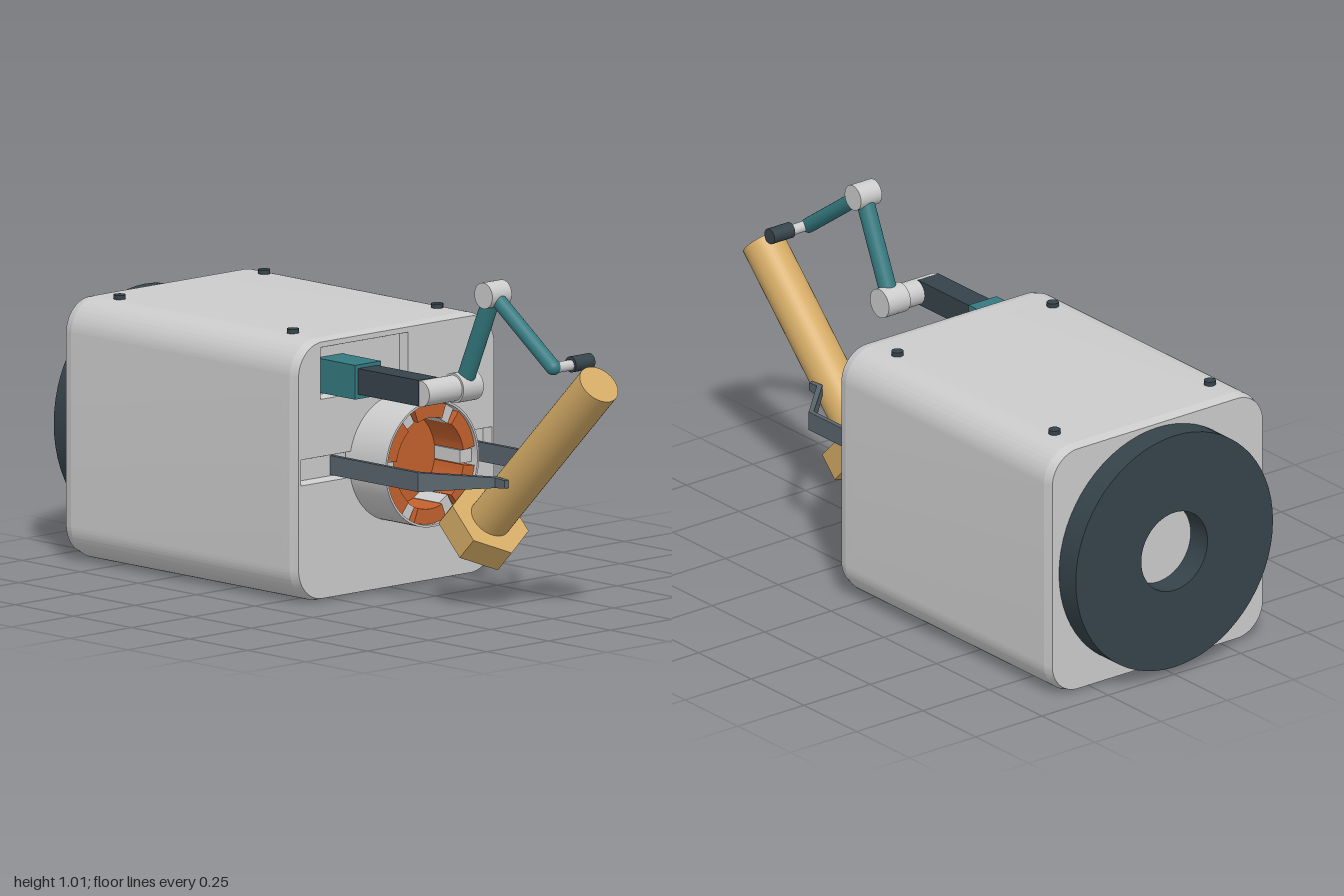
import * as THREE from 'three';
import { toCreasedNormals } from 'three/addons/utils/BufferGeometryUtils.js';

const mat = (color) => new THREE.MeshStandardMaterial({ color });
const GREY = mat(0xcccccc), DARK = mat(0x35434a), TEAL = mat(0x347a80);
const GOLD = mat(0xd4ab66), ORANGE = mat(0xc4602c), STEEL = mat(0x59656d);
const CY = 0.395; // height of the main axis

export function createModel() {
  const model = new THREE.Group();

  const add = (name, geometry, material, x = 0, y = 0, z = 0, parent = model) => {
    const mesh = new THREE.Mesh(geometry, material);
    mesh.name = name;
    mesh.position.set(x, y, z);
    parent.add(mesh);
    return mesh;
  };
  // Box given by its limits on each axis
  const box = (name, material, x0, x1, y0, y1, z0, z1) =>
    add(name, new THREE.BoxGeometry(x1 - x0, y1 - y0, z1 - z0), material,
      (x0 + x1) / 2, (y0 + y1) / 2, (z0 + z1) / 2);
  // Cylinder lying along x
  const barX = (name, material, r, x0, x1, y, z) =>
    add(name, new THREE.CylinderGeometry(r, r, x1 - x0, 32).rotateZ(Math.PI / 2), material, (x0 + x1) / 2, y, z);
  // Round-ended rod between two points
  const link = (name, material, r, a, b) => {
    const p = new THREE.Vector3(...a), q = new THREE.Vector3(...b);
    const d = q.clone().sub(p);
    const mid = p.clone().add(q).multiplyScalar(0.5);
    const mesh = add(name, new THREE.CapsuleGeometry(r, d.length(), 8, 24), material, mid.x, mid.y, mid.z);
    mesh.quaternion.setFromUnitVectors(new THREE.Vector3(0, 1, 0), d.normalize());
  };
  // Profile of (radius, z) points turned about the main axis
  const turned = (name, material, points) =>
    add(name, toCreasedNormals(new THREE.LatheGeometry(points.map((p) => new THREE.Vector2(...p)), 64)
      .rotateX(Math.PI / 2), 0.5), material, 0, CY, 0);

  // Housing: rounded block with a front plate that has recessed slots
  const outline = () => {
    const w = 0.405, h = 0.787, r = 0.105, s = new THREE.Shape();
    s.absarc(w - r, r, r, -Math.PI / 2, 0);
    s.absarc(w - r, h - r, r, 0, Math.PI / 2);
    s.absarc(r - w, h - r, r, Math.PI / 2, Math.PI);
    s.absarc(r - w, r, r, Math.PI, Math.PI * 1.5);
    s.closePath();
    return s;
  };
  const slab = (name, shape, z0, z1) => {
    const t = 0.03;
    const g = new THREE.ExtrudeGeometry(shape, {
      depth: z1 - z0 - 2 * t, curveSegments: 16,
      bevelThickness: t, bevelSize: 0.008, bevelOffset: -0.008, bevelSegments: 1,
    });
    add(name, toCreasedNormals(g, 0.2), GREY, 0, 0, z0 + t);
  };
  slab('housing', outline(), -0.92, 0.05);
  const plate = outline();
  for (const [x0, x1, y0, y1] of [
    [-0.38, -0.17, 0.365, 0.427], [0.17, 0.38, 0.365, 0.427], [-0.3, 0.04, 0.615, 0.755],
  ]) {
    plate.holes.push(new THREE.Path([[x0, y0], [x0, y1], [x1, y1], [x1, y0]].map((p) => new THREE.Vector2(...p))));
  }
  slab('frontPlate', plate, -0.03, 0.08);

  // Rear ring and top studs
  turned('rearRing', DARK, [[0.372, -1], [0.372, -0.92], [0.125, -0.92], [0.125, -1], [0.372, -1]]);
  for (const x of [-0.293, 0.293]) {
    for (const z of [-0.055, -0.8]) {
      add('topStud', new THREE.CylinderGeometry(0.018, 0.018, 0.03, 20), DARK, x, 0.785, z);
    }
  }

  // Front socket: sleeve, floor, six coil segments and the teeth between them
  turned('socketSleeve', GREY, [[0.19, 0.06], [0.19, 0.235], [0.183, 0.235], [0.183, 0.09]]);
  add('socketFloor', new THREE.CircleGeometry(0.184, 48), ORANGE, 0, CY, 0.1);
  for (let i = 0; i < 6; i++) {
    const a = (i * Math.PI) / 3, gap = 0.16;
    const sector = new THREE.Shape();
    sector.absarc(0, 0, 0.182, a + gap, a + Math.PI / 3 - gap, false);
    sector.absarc(0, 0, 0.137, a + Math.PI / 3 - gap, a + gap, true);
    sector.closePath();
    const coil = new THREE.ExtrudeGeometry(sector, { depth: 0.13, bevelEnabled: false, curveSegments: 10 });
    add('coil', toCreasedNormals(coil, 0.4), ORANGE, 0, CY, 0.095);
    const tooth = add('tooth', new THREE.BoxGeometry(0.05, 0.04, 0.11), GREY,
      0.16 * Math.cos(a), CY + 0.16 * Math.sin(a), 0.155);
    tooth.rotation.z = a;
  }

  // Two bent fingers, thinning in height towards the tip
  for (const s of [-1, 1]) {
    const path = [[0.242, 0.04], [0.242, 0.43], [0.083, 0.592], [0.081, 0.632],
      [0.066, 0.632], [0.066, 0.585], [0.227, 0.424], [0.227, 0.04]];
    const shape = new THREE.Shape(path.map(([x, z]) => new THREE.Vector2(s * x, z)));
    const g = new THREE.ExtrudeGeometry(shape, { depth: 2, bevelEnabled: false });
    g.translate(0, 0, -1).rotateX(Math.PI / 2);
    const p = g.attributes.position;
    for (let i = 0; i < p.count; i++) {
      const taper = THREE.MathUtils.clamp((p.getZ(i) - 0.43) / 0.2, 0, 1);
      p.setY(i, p.getY(i) * (0.029 - 0.017 * taper));
    }
    g.computeVertexNormals();
    add(s > 0 ? 'leftFinger' : 'rightFinger', g, STEEL, 0, 0.397, 0);
  }

  // Jointed arm
  box('armMount', TEAL, -0.295, -0.19, 0.623, 0.726, 0.04, 0.215);
  box('armBeam', DARK, -0.283, -0.205, 0.637, 0.715, 0.21, 0.475);
  barX('shoulderAxle', GREY, 0.039, -0.28, -0.145, 0.675, 0.48);
  barX('shoulderJoint', GREY, 0.045, -0.147, -0.065, 0.675, 0.48);
  link('lowerArm', TEAL, 0.027, [-0.107, 0.675, 0.48], [-0.107, 0.945, 0.598]);
  barX('elbowJoint', GREY, 0.039, -0.147, -0.068, 0.97, 0.61);
  link('upperArm', TEAL, 0.023, [-0.107, 0.96, 0.624], [-0.107, 0.785, 0.868]);
  barX('wristPin', GREY, 0.016, -0.107, -0.035, 0.784, 0.872);
  barX('roller', DARK, 0.024, -0.04, 0.038, 0.786, 0.872);

  // Slanted hex bolt
  const bolt = new THREE.Group();
  bolt.name = 'bolt';
  bolt.position.set(0, 0.205, 0.425);
  bolt.rotation.x = Math.PI / 4;
  model.add(bolt);
  const head = new THREE.CylinderGeometry(0.129, 0.129, 0.085, 6).toNonIndexed();
  head.computeVertexNormals();
  add('boltHead', head, GOLD, 0, 0.0425, 0, bolt);
  add('boltShaft', new THREE.CylinderGeometry(0.065, 0.065, 0.67, 40), GOLD, 0, 0.41, 0, bolt);

  return model;
}
